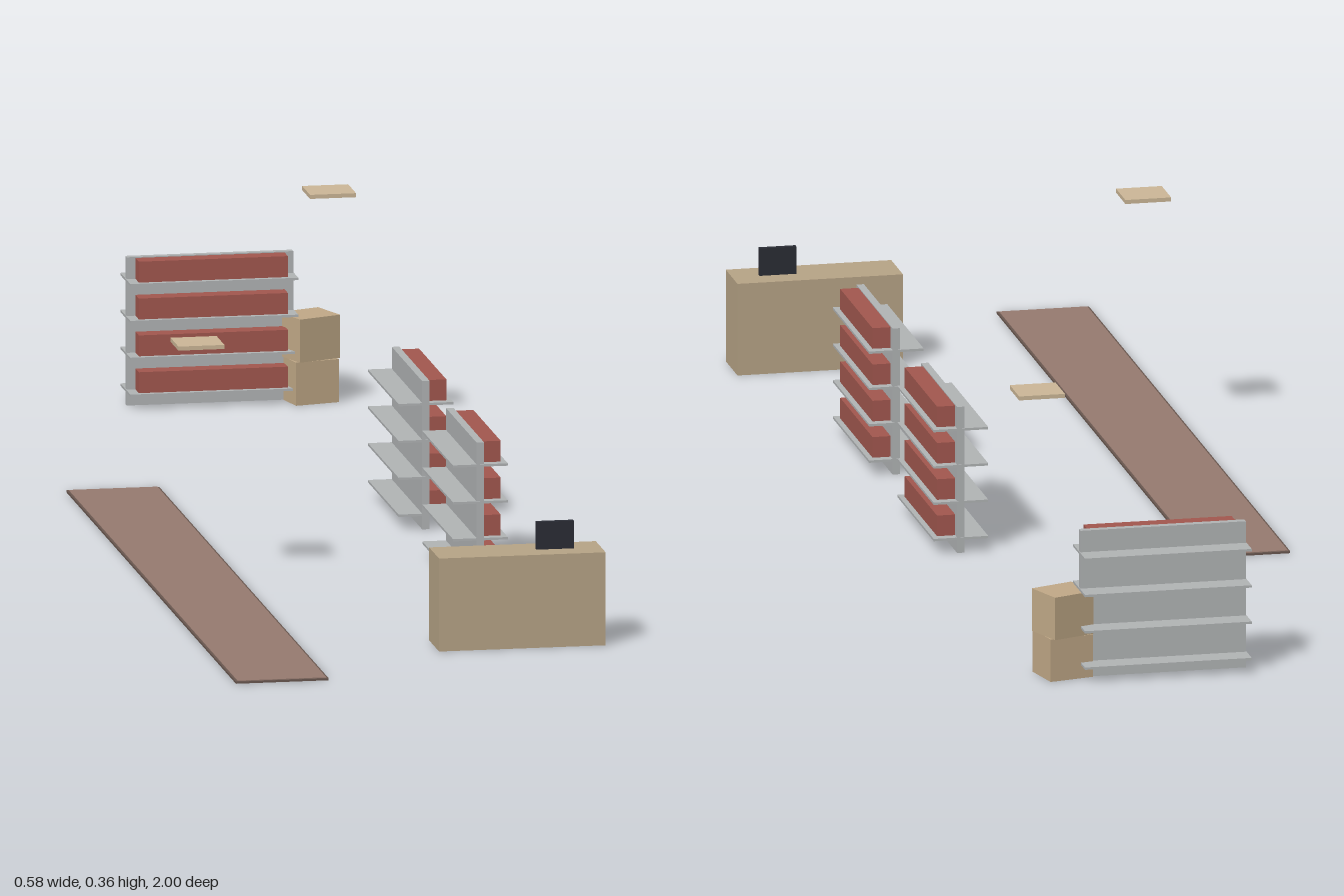
import * as THREE from 'three';

const mat = (name, color) => {
  const m = new THREE.MeshStandardMaterial({ color });
  m.name = name;
  return m;
};

export function createModel() {
  const grey = mat('shelf grey', 0xb2b5b6);
  const red = mat('goods red', 0xa3584f);
  const tan = mat('counter tan', 0xb8a587);
  const crateTan = mat('crate tan', 0xc2aa88);
  const panelTan = mat('panel beige', 0xcdb898);
  const runnerBrown = mat('runner brown', 0x977b70);
  const trimBrown = mat('runner trim', 0x6a5850);
  const dark = mat('screen dark', 0x2a2c35);

  const model = new THREE.Group();
  model.name = 'shopInterior';

  // Box standing on y, centred on x and z
  const box = (parent, name, material, w, h, d, x, y, z, turn = 0) => {
    const mesh = new THREE.Mesh(new THREE.BoxGeometry(w, h, d), material);
    mesh.name = name;
    mesh.position.set(x, y + h / 2, z);
    mesh.rotation.y = turn;
    parent.add(mesh);
    return mesh;
  };

  // Long floor runner with a thin darker border
  box(model, 'runnerBase', trimBrown, 0.137, 0.003, 1.37, -0.2215, 0, 0.315);
  box(model, 'runnerTop', runnerBrown, 0.131, 0.001, 1.364, -0.2215, 0.003, 0.315);

  // Hanging ceiling panels
  for (const [x, z] of [[-0.221, 0.312], [0.159, -0.704]])
    box(model, 'ceilingPanel', panelTan, 0.068, 0.006, 0.064, x, 0.357, z);

  // Counter and its screen
  box(model, 'counter', tan, 0.246, 0.138, 0.08, 0.164, 0, 0.79);
  box(model, 'screen', dark, 0.055, 0.041, 0.008, 0.219, 0.138, 0.79);

  // Shelf unit: central panel, four through shelves, goods on the front side
  const shelfUnit = (x, z, turn) => {
    const unit = new THREE.Group();
    unit.name = 'shelfUnit';
    box(unit, 'dividerPanel', grey, 0.246, 0.22, 0.011, 0, 0, 0);
    for (let i = 0; i < 4; i++) {
      const y = 0.02 + i * 0.0547;
      box(unit, 'shelf', grey, 0.248, 0.0035, 0.081, 0, y, 0);
      box(unit, 'goods', red, 0.22, 0.031, 0.027, 0, y + 0.0035, 0.019);
    }
    unit.position.set(x, 0, z);
    unit.rotation.y = turn;
    model.add(unit);
  };
  shelfUnit(0.177, 0.296, Math.PI / 2);
  shelfUnit(0.177, -0.143, Math.PI / 2);
  shelfUnit(0.029, -0.96, 0);

  // Two stacked crates, slightly turned
  box(model, 'lowerCrate', crateTan, 0.068, 0.064, 0.062, 0.174, 0, -0.946, 0.22);
  box(model, 'upperCrate', crateTan, 0.068, 0.064, 0.062, 0.174, 0.064, -0.948, 0.36);

  return model;
}
